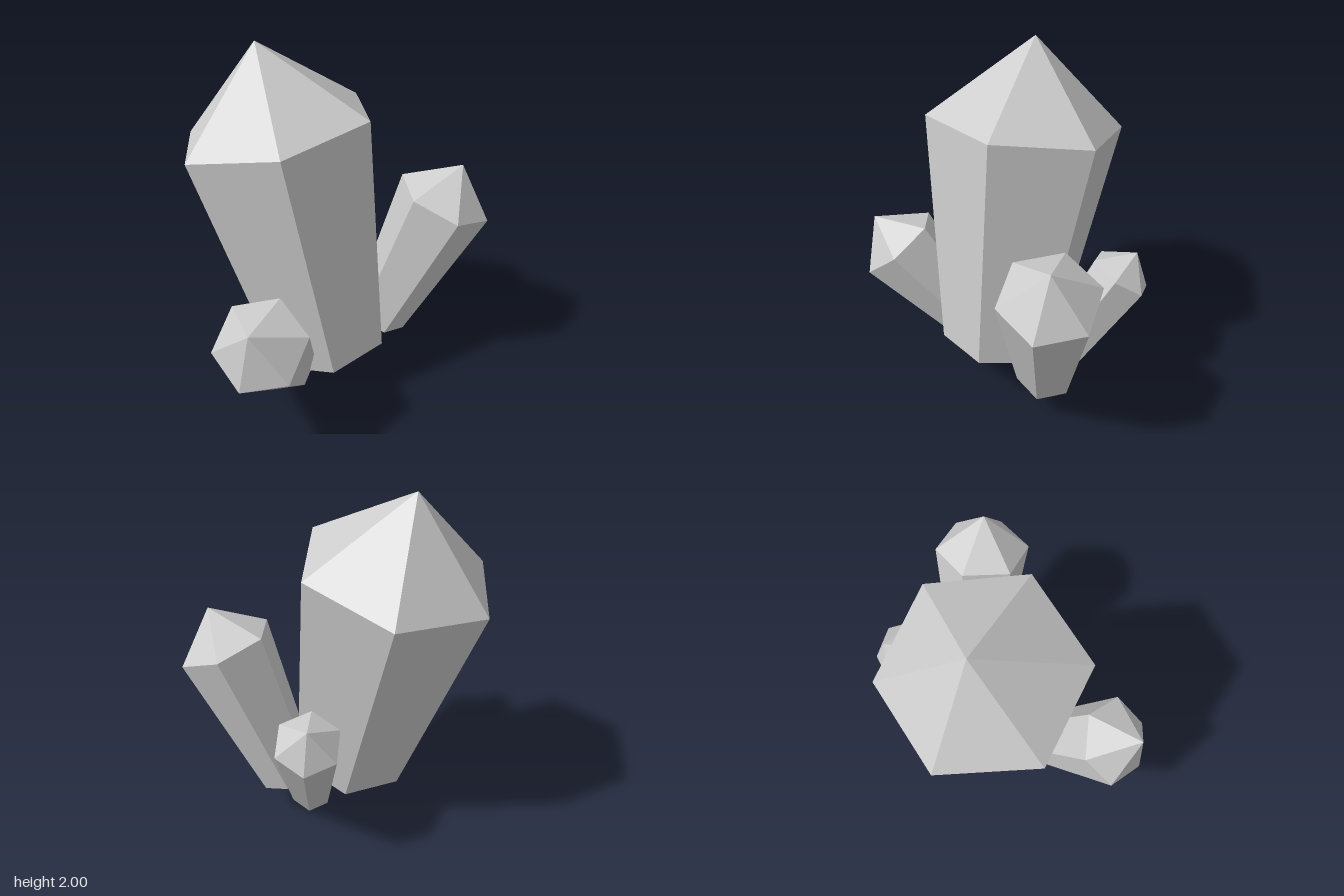
import * as THREE from 'three';

// Each crystal: centre of the base, centre of the shoulder ring, radii, tip length, spin
const CRYSTALS = [
  { name: 'mainCrystal', base: [0.125, 0.23, 0.045], top: [-0.17, 1.547, 0.175], r0: 0.35, r1: 0.547, tip: 0.465, spin: 0 },
  { name: 'frontCrystal', base: [0.16, 0.227, 0.349], top: [0.407, 0.704, 0.68], r0: 0.157, r1: 0.257, tip: 0.22, spin: 0.465 },
  { name: 'tallBackCrystal', base: [0.112, 0.223, -0.36], top: [0.33, 1.075, -0.623], r0: 0.171, r1: 0.272, tip: 0.227, spin: 0.05 },
  { name: 'smallBackCrystal', base: [0.065, 0.067, -0.245], top: [-0.362, 0.774, -0.443], r0: 0.12, r1: 0.186, tip: 0.155, spin: -0.03 },
];

// Six-sided shaft that widens upward, with a flat base and a pointed tip
function makeCrystal({ name, base, top, r0, r1, tip, spin }, material) {
  const start = new THREE.Vector3(...base);
  const axis = new THREE.Vector3(...top).sub(start);
  const length = axis.length();
  const profile = [[0, 0], [r0, 0], [r1, length], [0, length + tip]].map(([r, y]) => new THREE.Vector2(r, y));
  const geometry = new THREE.LatheGeometry(profile, 6);
  geometry.rotateY(spin);

  const crystal = new THREE.Mesh(geometry, material);
  crystal.name = name;
  crystal.position.copy(start);
  crystal.quaternion.setFromUnitVectors(new THREE.Vector3(0, 1, 0), axis.normalize());
  return crystal;
}

export function createModel() {
  const material = new THREE.MeshStandardMaterial({ color: 0xcccccc, flatShading: true });
  const group = new THREE.Group();
  group.name = 'crystalCluster';
  for (const spec of CRYSTALS) group.add(makeCrystal(spec, material));
  return group;
}
